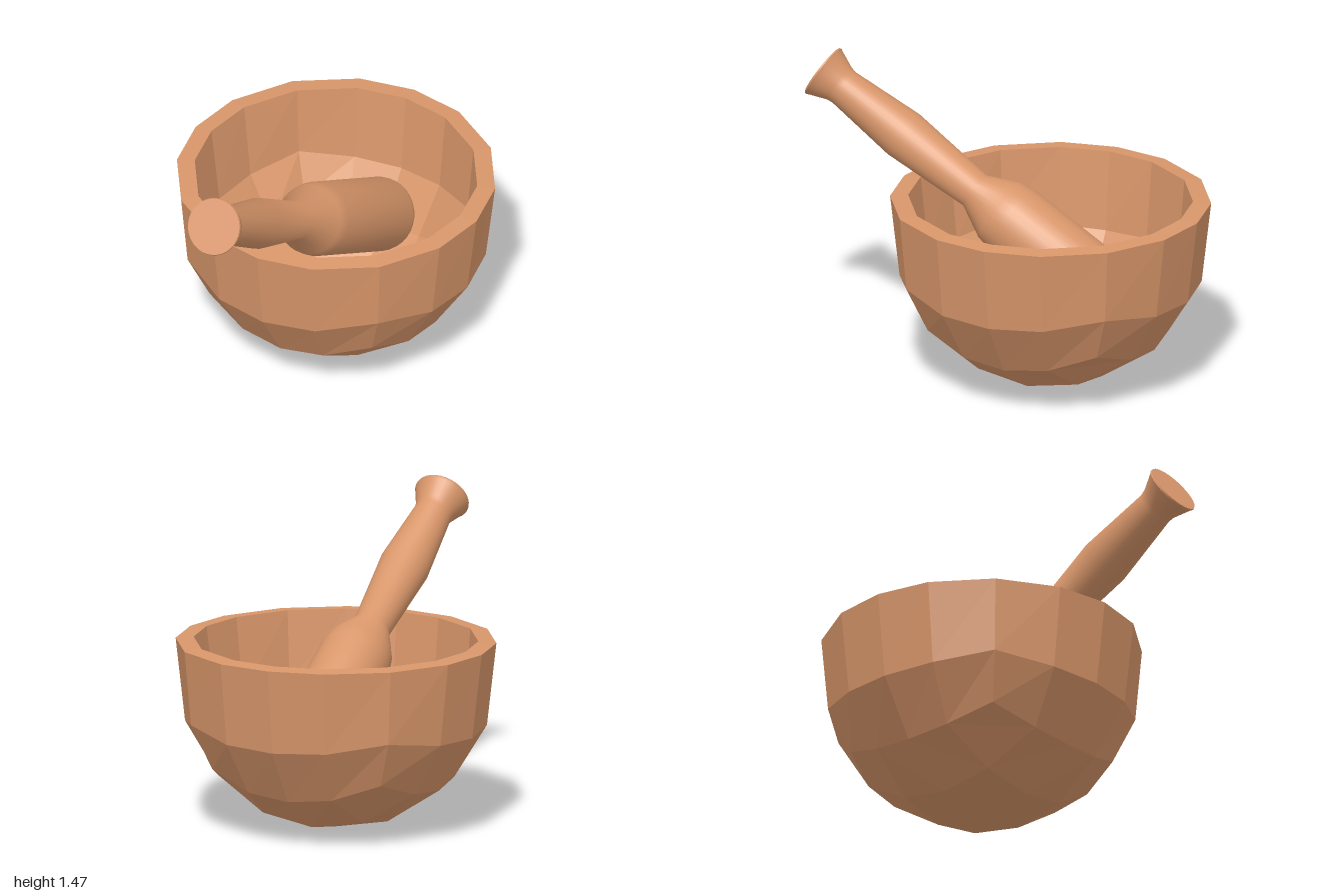
import * as THREE from 'three';
import { toCreasedNormals } from 'three/addons/utils/BufferGeometryUtils.js';

const material = (flatShading) => new THREE.MeshStandardMaterial({ color: 0xd8966a, flatShading });

// Spacing of the grid on one face of the rounded cube
const warp = (u, v) => (Math.abs(u) === 0.5 ? Math.sign(u) * (0.377 + 0.045 * v * v) : u);

// Half of a rounded cube: outer shell, inner shell and a rim between them
function bowlGeometry(centreY, outer, inner) {
  const positions = [];
  const up = new THREE.Vector3(0, 1, 0);
  const quad = (a, b, c, d) => {
    for (const p of [a, b, c, a, c, d]) positions.push(p.x, p.y, p.z);
  };
  const sidePoint = (shell, turn, u, v) => {
    const p = new THREE.Vector3(warp(u, v), warp(v, u), 1).setLength(shell.radius);
    p.applyAxisAngle(up, turn * Math.PI / 2);
    p.y = v === 0 ? shell.rimY : p.y + centreY;
    return p;
  };
  const basePoint = (shell, u, v) => {
    const p = new THREE.Vector3(warp(u, v), -1, warp(v, u)).setLength(shell.radius);
    p.y += centreY;
    return p;
  };
  const patch = (point, u, v, flip) => {
    const corners = [point(u, v), point(u + 0.5, v), point(u + 0.5, v + 0.5), point(u, v + 0.5)];
    if (flip) corners.reverse();
    quad(...corners);
  };
  const columns = [-1, -0.5, 0, 0.5];

  for (const shell of [outer, inner]) {
    const flip = shell === inner;
    for (const u of columns) {
      for (const v of columns) patch((a, b) => basePoint(shell, a, b), u, v, flip);
      for (let turn = 0; turn < 4; turn++) {
        for (const v of [-1, -0.5]) patch((a, b) => sidePoint(shell, turn, a, b), u, v, flip);
      }
    }
  }
  // Rim
  for (let turn = 0; turn < 4; turn++) {
    for (const u of columns) {
      quad(sidePoint(outer, turn, u, 0), sidePoint(outer, turn, u + 0.5, 0),
        sidePoint(inner, turn, u + 0.5, 0), sidePoint(inner, turn, u, 0));
    }
  }
  const geometry = new THREE.BufferGeometry();
  geometry.setAttribute('position', new THREE.Float32BufferAttribute(positions, 3));
  geometry.computeVertexNormals();
  return geometry;
}

// Turned pestle, hanging down from the centre of its flat end
function pestleGeometry() {
  const profile = [[0, -1.94]];
  // Rounded grinding end
  for (let i = 0; i <= 5; i++) {
    const a = (i / 5) * Math.PI / 2;
    profile.push([0.095 + 0.08 * Math.sin(a), -1.86 - 0.08 * Math.cos(a)]);
  }
  // Shoulder, waist, swelling, neck and flared end
  profile.push([0.175, -1.14], [0.163, -1.07], [0.09, -0.92], [0.12, -0.49],
    [0.09, -0.13], [0.095, -0.1], [0.13, -0.015], [0.135, -0.008], [0.133, 0], [0, 0]);
  const points = profile.map(([r, y]) => new THREE.Vector2(r, y));
  return toCreasedNormals(new THREE.LatheGeometry(points, 32), 0.8);
}

export function createModel() {
  const model = new THREE.Group();
  model.name = 'mortarAndPestle';

  const bowl = new THREE.Mesh(
    bowlGeometry(0.755, { radius: 0.755, rimY: 0.893 }, { radius: 0.67, rimY: 0.9 }),
    material(true));
  bowl.name = 'bowl';
  bowl.position.z = -0.245;

  const pestle = new THREE.Mesh(pestleGeometry(), material(false));
  pestle.name = 'pestle';
  pestle.position.set(0, 1.355, 0.93);
  pestle.rotation.x = Math.atan2(0.855, 0.52);

  model.add(bowl, pestle);
  return model;
}
